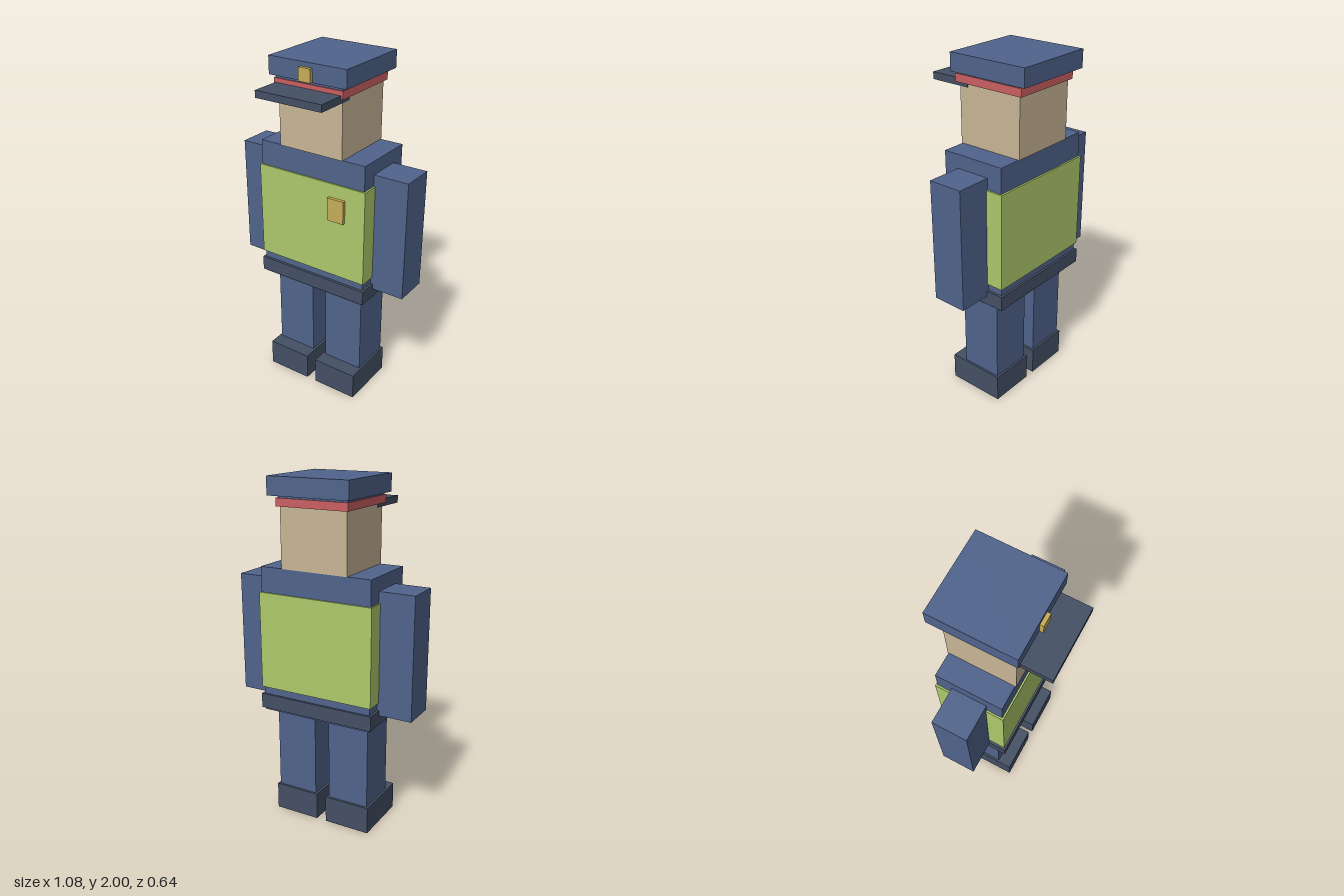
import * as THREE from 'three';

const paint = (name, color) => {
  const m = new THREE.MeshStandardMaterial({ color });
  m.name = name;
  return m;
};

export function createModel() {
  const blue = paint('uniform blue', 0x50648c);
  const dark = paint('dark slate', 0x445065);
  const lime = paint('vest lime', 0xaeca6c);
  const skin = paint('skin tan', 0xc8b697);
  const red = paint('band red', 0xcc6062);
  const gold = paint('badge gold', 0xc6ae58);

  const model = new THREE.Group();
  model.name = 'officer';

  // Box given by its extents on each axis
  const box = (name, material, [x0, x1], [y0, y1], [z0, z1]) => {
    const mesh = new THREE.Mesh(new THREE.BoxGeometry(x1 - x0, y1 - y0, z1 - z0), material);
    mesh.position.set((x0 + x1) / 2, (y0 + y1) / 2, (z0 + z1) / 2);
    mesh.name = name;
    model.add(mesh);
  };
  // Box centred on x
  const centred = (name, material, halfX, y, z) => box(name, material, [-halfX, halfX], y, z);
  // Left and right copies
  const pair = (name, material, [x0, x1], y, z) => {
    box('left' + name, material, [x0, x1], y, z);
    box('right' + name, material, [-x1, -x0], y, z);
  };

  // Limbs
  pair('Shoe', dark, [0.03, 0.305], [0, 0.16], [-0.2, 0.145]);
  pair('Leg', blue, [0.045, 0.293], [0.16, 0.66], [-0.187, 0.058]);
  pair('Arm', blue, [0.337, 0.542], [0.735, 1.43], [-0.167, 0.035]);

  // Body
  centred('torso', blue, 0.337, [0.667, 1.508], [-0.257, 0.125]);
  centred('vest', lime, 0.347, [0.808, 1.365], [-0.267, 0.135]);
  centred('belt', dark, 0.351, [0.68, 0.765], [-0.27, 0.14]);
  box('chestBadge', gold, [0.122, 0.224], [1.153, 1.287], [0.13, 0.154]);

  // Head and cap
  centred('head', skin, 0.2, [1.508, 1.842], [-0.262, 0.132]);
  centred('capBase', blue, 0.207, [1.844, 1.902], [-0.272, 0.145]);
  centred('capBand', red, 0.214, [1.842, 1.886], [-0.281, 0.153]);
  centred('visor', dark, 0.205, [1.822, 1.862], [0.077, 0.321]);
  centred('capTop', blue, 0.241, [1.9, 2], [-0.321, 0.16]);
  centred('capBadge', gold, 0.036, [1.902, 1.975], [0.155, 0.181]);

  return model;
}
